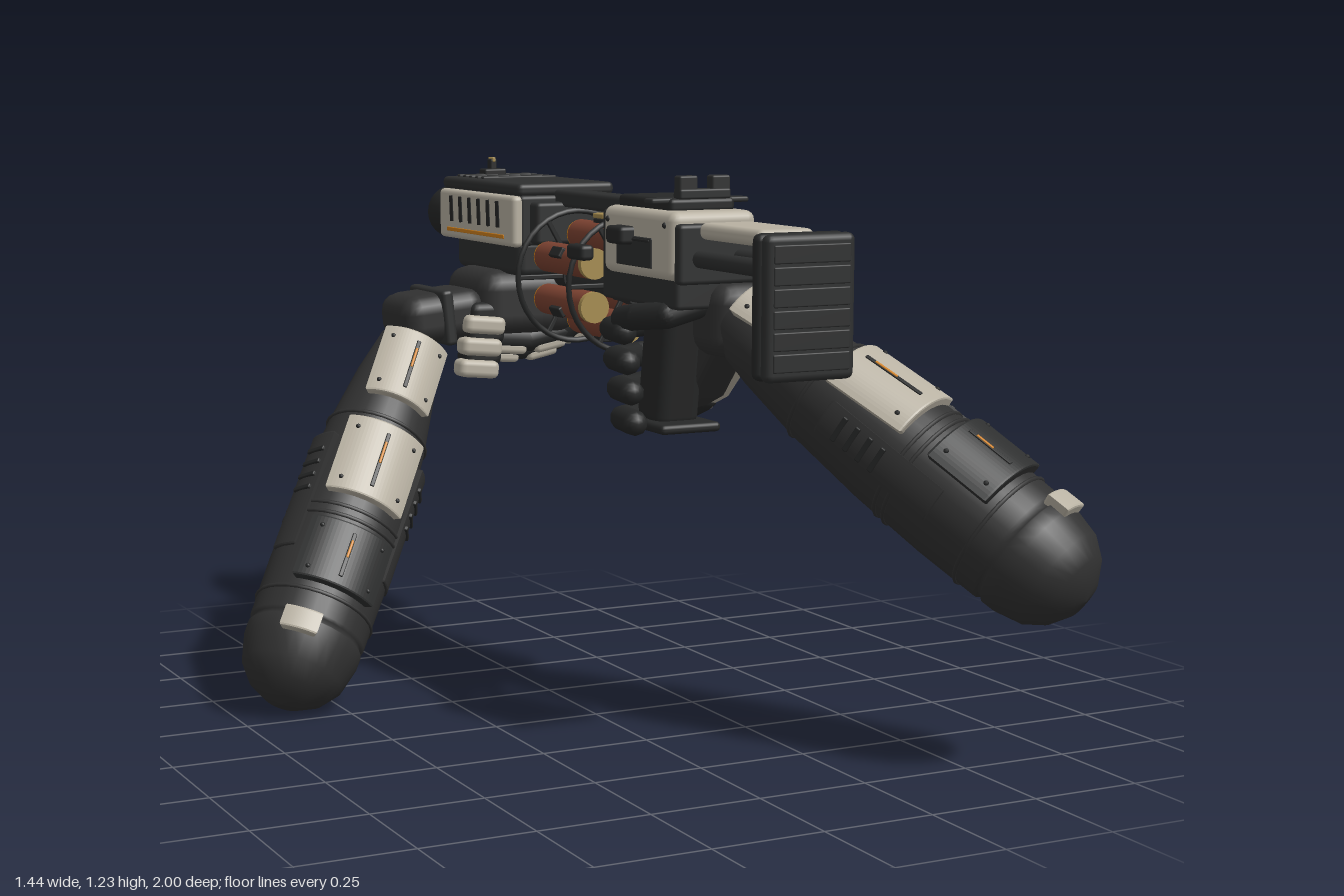
import * as THREE from 'three';
import { RoundedBoxGeometry } from 'three/addons/geometries/RoundedBoxGeometry.js';

const V = (x, y, z) => new THREE.Vector3(x, y, z);
const paint = (name, color) => {
  const m = new THREE.MeshStandardMaterial({ color });
  m.name = name;
  return m;
};

export function createModel() {
  const cream = paint('cream plate', 0xb8b1a2);
  const dark = paint('dark metal', 0x2e2f2f);
  const sleeve = paint('sleeve grey', 0x313131);
  const black = paint('black rubber', 0x262727);
  const brown = paint('copper brown', 0x7c4231);
  const orange = paint('orange accent', 0xd0801c);
  const brass = paint('brass', 0xa68c50);
  black.side = THREE.DoubleSide; // the barrels are open shells

  const model = new THREE.Group();
  const CX = 0.145; // gun centre line

  const add = (parent, name, geo, mat, x = 0, y = 0, z = 0) => {
    const m = new THREE.Mesh(geo, mat);
    m.name = name;
    m.position.set(x, y, z);
    parent.add(m);
    return m;
  };
  const group = (name, parent = model) => {
    const g = new THREE.Group();
    g.name = name;
    parent.add(g);
    return g;
  };
  const box = (w, h, d, r = 0.01) =>
    new RoundedBoxGeometry(w, h, d, 2, Math.min(r, w * 0.45, h * 0.45, d * 0.45));
  const barZ = (r, len, r2 = r) => new THREE.CylinderGeometry(r, r2, len, 20).rotateX(Math.PI / 2);
  // Aim an object: local y along dir, local z towards out
  const aim = (obj, pos, dir, out) => {
    const y = dir.clone().normalize();
    const z = out.clone().addScaledVector(y, -out.dot(y)).normalize();
    obj.quaternion.setFromRotationMatrix(new THREE.Matrix4().makeBasis(y.clone().cross(z), y, z));
    obj.position.copy(pos);
  };

  // ---- Stock ----
  const gun = group('gun');
  add(gun, 'buttPad', box(0.21, 0.3, 0.035, 0.02), black, CX, 0.987, 0.635);
  add(gun, 'buttPadBack', box(0.21, 0.3, 0.035, 0.02), dark, CX, 0.987, 0.672);
  for (let i = 0; i < 6; i++) add(gun, 'buttRidge', box(0.18, 0.038, 0.008, 0.003), dark, CX, 0.877 + i * 0.044, 0.688);
  for (const s of [-1, 1]) add(gun, 'stockRod', barZ(0.019, 0.36), dark, CX + s * 0.05, 1.06, 0.46);
  add(gun, 'cheekRest', box(0.135, 0.036, 0.26, 0.015), cream, CX, 1.122, 0.46);

  // ---- Receiver ----
  add(gun, 'receiver', box(0.21, 0.15, 0.335, 0.022), cream, CX, 1.085, 0.117);
  add(gun, 'receiverBackPlate', box(0.2, 0.13, 0.03), dark, CX, 1.07, 0.295);
  add(gun, 'receiverFrontPlate', box(0.19, 0.14, 0.03), dark, CX, 1.08, -0.055);
  add(gun, 'receiverBelly', box(0.15, 0.08, 0.36), dark, CX, 0.985, 0.07);
  for (const s of [-1, 1]) {
    add(gun, 'sidePort', box(0.008, 0.066, 0.165, 0.003), dark, CX + s * 0.105, 1.066, 0.11);
    add(gun, 'sidePortLip', box(0.008, 0.006, 0.15, 0.002), black, CX + s * 0.107, 1.092, 0.11);
    for (const z of [-0.02, 0.25]) add(gun, 'receiverBolt', new THREE.SphereGeometry(0.007, 8, 6), black, CX + s * 0.104, 1.13, z);
  }
  add(gun, 'topPlate', box(0.16, 0.03, 0.25), black, CX, 1.17, 0.105);
  add(gun, 'sightRail', box(0.24, 0.012, 0.04, 0.005), dark, CX, 1.18, 0.2);
  add(gun, 'rearSightBase', box(0.125, 0.022, 0.035, 0.005), dark, CX, 1.195, 0.225);
  for (const s of [-1, 1]) add(gun, 'rearSightPost', box(0.045, 0.045, 0.03, 0.005), dark, CX + s * 0.04, 1.212, 0.225);
  add(gun, 'sideHandle', box(0.05, 0.04, 0.075), black, 0.03, 1.1, 0.07);
  add(gun, 'sideKnob', box(0.035, 0.035, 0.08), black, -0.015, 1.055, -0.05);

  // ---- Pistol grip ----
  const grip = add(gun, 'pistolGrip', box(0.11, 0.32, 0.12, 0.03), black, CX, 0.83, 0.09);
  grip.rotation.x = 0.15;
  add(gun, 'gripFoot', box(0.15, 0.022, 0.2), black, CX, 0.675, 0.085);

  // ---- Revolving drum ----
  const drum = group('drum', gun);
  drum.position.set(CX, 0.97, -0.255);
  add(drum, 'shaft', barZ(0.035, 0.4), dark);
  add(drum, 'frontHub', barZ(0.04, 0.05), black, 0, 0, -0.155);
  add(drum, 'rearHub', barZ(0.045, 0.05), dark, 0, 0, 0.17);
  for (const z of [-0.14, 0.135]) {
    add(drum, 'drumRing', new THREE.TorusGeometry(0.155, 0.007, 6, 36), black, 0, 0, z);
    for (let k = 0; k < 3; k++) add(drum, 'ringSpoke', box(0.31, 0.012, 0.008, 0.003), black, 0, 0, z).rotation.z = (k * Math.PI) / 3;
  }
  for (let k = 0; k < 6; k++) {
    const a = Math.PI / 6 + (k * Math.PI) / 3, c = Math.cos(a), s = Math.sin(a);
    add(drum, 'chamber', barZ(0.036, 0.235), brown, c * 0.1, s * 0.1, 0);
    add(drum, 'chamberTip', barZ(0.036, 0.01, 0.034), orange, c * 0.1, s * 0.1, -0.121);
    add(drum, 'cartridgeRim', barZ(0.036, 0.016), brass, c * 0.1, s * 0.1, 0.124);
    const clip = add(drum, 'chamberClip', box(0.014, 0.026, 0.055, 0.004), black, c * 0.137, s * 0.137, 0);
    clip.rotation.z = a;
  }
  add(drum, 'topTab', box(0.03, 0.012, 0.055, 0.004), brass, 0, 0.15, 0);
  add(gun, 'topBar', box(0.065, 0.04, 0.42), dark, CX, 1.153, -0.25);
  add(gun, 'drumMount', box(0.13, 0.09, 0.06), dark, CX, 0.985, -0.06);

  // ---- Fore shroud and barrels ----
  add(gun, 'shroudCollar', box(0.2, 0.1, 0.07), dark, CX, 1.095, -0.44);
  add(gun, 'shroudCore', box(0.25, 0.12, 0.45), dark, CX, 1.1, -0.67);
  add(gun, 'topCover', box(0.255, 0.03, 0.465, 0.012), dark, CX, 1.173, -0.682);
  for (let i = 0; i < 5; i++) add(gun, 'coverRib', box(0.2, 0.008, 0.018, 0.003), dark, CX, 1.189, -0.875 + i * 0.037);
  for (const s of [-1, 1]) {
    add(gun, 'shroudSide', box(0.03, 0.122, 0.45, 0.012), cream, CX + s * 0.13, 1.098, -0.67);
    for (let i = 0; i < 6; i++) {
      const slot = add(gun, 'ventSlot', box(0.006, 0.064, 0.02, 0.002), black, CX + s * 0.144, 1.112, -0.535 - i * 0.056);
      slot.rotation.x = -0.08;
    }
    add(gun, 'accentStripe', box(0.006, 0.01, 0.345, 0.002), orange, CX + s * 0.144, 1.06, -0.67);
    const tube = [[0.038, 0], [0.038, 0.13], [0.054, 0.14], [0.066, 0.135], [0.066, 0.07], [0.058, 0.065], [0.058, 0.05], [0.066, 0.045], [0.066, 0]];
    const barrel = new THREE.LatheGeometry(tube.map(([x, y]) => new THREE.Vector2(x, -y)), 24).rotateX(Math.PI / 2);
    add(gun, 'barrel', barrel, black, CX + s * 0.068, 1.093, -0.86);
    add(gun, 'barrelPlug', barZ(0.05, 0.02), dark, CX + s * 0.068, 1.093, -0.89);
  }
  add(gun, 'frontSightBase', box(0.06, 0.02, 0.04, 0.005), black, CX, 1.195, -0.885);
  add(gun, 'frontSight', box(0.018, 0.045, 0.025, 0.004), black, CX, 1.207, -0.89);
  add(gun, 'sightBead', box(0.009, 0.012, 0.03, 0.003), brass, CX, 1.228, -0.89);
  add(gun, 'foreGrip', box(0.2, 0.09, 0.38, 0.02), dark, CX, 1.005, -0.7);

  // ---- Forearms ----
  // Curved armour plate hugging the sleeve, centred on local +z
  const arcPlate = (r, thick, half, len) => {
    const s = new THREE.Shape();
    s.absarc(0, 0, r + thick, -Math.PI / 2 - half, -Math.PI / 2 + half, false);
    s.absarc(0, 0, r - 0.02, -Math.PI / 2 + half, -Math.PI / 2 - half, true);
    return new THREE.ExtrudeGeometry(s, { depth: len, curveSegments: 12, bevelThickness: 0.005, bevelSize: 0.005, bevelSegments: 2 })
      .translate(0, 0, -len / 2).rotateX(-Math.PI / 2);
  };
  const profile = [[0, -0.135], [0.045, -0.128], [0.09, -0.1], [0.12, -0.06], [0.135, 0], [0.136, 0.03], [0.129, 0.035], [0.129, 0.045],
    [0.137, 0.05], [0.14, 0.2], [0.136, 0.38], [0.122, 0.58], [0.1, 0.74], [0.075, 0.86], [0, 0.87]].map(([x, y]) => new THREE.Vector2(x, y));
  const forearm = (name, elbow, dir, side) => {
    const g = group(name);
    aim(g, elbow, dir, V(0, -dir.z, dir.y));
    add(g, 'sleeve', new THREE.LatheGeometry(profile, 32), sleeve);
    for (const [y, r] of [[0.1, 0.138], [0.3, 0.138], [0.325, 0.137], [0.585, 0.122]])
      add(g, 'sleeveBand', new THREE.TorusGeometry(r, 0.005, 6, 32).rotateX(Math.PI / 2), sleeve, 0, y, 0);
    const plates = [[0.73, 0.099, 0.19, 0.72, cream], [0.45, 0.127, 0.2, 0.68, cream], [0.2, 0.138, 0.15, 0.66, dark], [0.02, 0.132, 0.045, 0.26, cream]];
    plates.forEach(([y, r, len, half, mat], i) => {
      const p = group('armPlate', g);
      p.position.y = y;
      p.rotation.x = [-0.13, -0.08, 0, 0][i];
      if (i === 3) p.rotation.y = side * 0.33;
      add(p, 'plateShell', arcPlate(r, 0.016, half, len), mat);
      if (i === 3) return;
      add(p, 'plateSlot', box(0.01, len * 0.75, 0.008, 0.002), black, 0, 0, r + 0.02);
      add(p, 'plateGlow', box(0.006, len * 0.3, 0.008, 0.002), orange, 0, len * 0.1, r + 0.022);
      for (const s of [-1, 1]) for (const t of [-1, 1])
        add(p, 'plateBolt', new THREE.SphereGeometry(0.006, 8, 6), black, s * (r + 0.02) * Math.sin(half * 0.75), t * len * 0.36, (r + 0.02) * Math.cos(half * 0.75));
    });
    // Side panels with small fins
    for (const s of [-1, 1]) {
      const flank = group('sidePanel', g);
      flank.rotation.y = s * 1.2;
      add(flank, 'panel', arcPlate(0.13, 0.01, 0.25, 0.3), sleeve, 0, 0.36, 0);
      for (let i = 0; i < 4; i++) add(flank, 'panelFin', box(0.06, 0.012, 0.012, 0.003), black, 0, 0.36 + i * 0.035, 0.143);
    }
  };
  forearm('frontForearm', V(-0.59, 0.135, -0.34), V(0.45, 0.69, -0.38), -1);
  forearm('rearForearm', V(0.585, 0.46, 0.862), V(-0.325, 0.42, -0.565), 1);

  // ---- Hands ----
  // Finger: dark capsules along a path; the first few segments carry a cream plate on the outer face
  const finger = (parent, pts, centre, r, plated) => {
    const f = group('finger', parent);
    for (let i = 0; i + 1 < pts.length; i++) {
      const mid = pts[i].clone().lerp(pts[i + 1], 0.5), dir = pts[i + 1].clone().sub(pts[i]), len = dir.length();
      const s = group('fingerSegment', f);
      aim(s, mid, dir, mid.clone().sub(centre(mid)));
      add(s, 'joint', new THREE.CapsuleGeometry(r, len, 4, 10), black);
      if (i < plated) add(s, 'fingerPlate', box(r * 1.7, len * 0.85, r, 0.012), cream, 0, 0, r * 0.72);
    }
  };

  // Supporting hand under the fore grip, fingers fanning up the +x side
  const handA = group('frontHand');
  const cuff = add(handA, 'wristCuff', box(0.22, 0.12, 0.2, 0.045), sleeve, -0.1, 0.86, -0.7);
  cuff.rotation.z = 0.1;
  add(handA, 'cuffBand', box(0.03, 0.135, 0.215, 0.01), dark, -0.1, 0.86, -0.7).rotation.z = 0.1;
  add(handA, 'palm', box(0.27, 0.16, 0.26, 0.05), sleeve, 0.12, 0.89, -0.71);
  for (let i = 0; i < 4; i++) {
    const k = i - 1.5, z = (s) => -0.715 + k * s;
    const low = Math.abs(k) * 0.025;
    finger(handA, [V(0.01, 0.765 + low, z(0.046)), V(0.13, 0.755 + low, z(0.048)), V(0.225, 0.775 + low, z(0.055)), V(0.278, 0.85, z(0.074)), V(0.28, 0.93, z(0.094)), V(0.245, 0.995, z(0.1))],
      (m) => V(0.12, 0.92, m.z), 0.03, 5);
  }
  // Knuckle guards on the rear face of the supporting hand
  for (let i = 0; i < 3; i++) {
    add(handA, 'knuckleGuard', box(0.105, 0.044, 0.06, 0.015), cream, -0.012, 0.728 + i * 0.056, -0.64 + i * 0.02).rotation.z = -0.1;
    add(handA, 'knuckleJoint', box(0.1, 0.05, 0.07, 0.02), black, 0.005, 0.757 + i * 0.056, -0.66 + i * 0.02);
  }

  // Trigger hand: palm on the +x side, fingers wrapping round the grip
  const handB = group('rearHand');
  add(handB, 'wristCuff', box(0.15, 0.17, 0.16, 0.05), sleeve, 0.225, 0.92, 0.22);
  const slab = (outline, d) => new THREE.ExtrudeGeometry(new THREE.Shape(outline.map(([z, y]) => new THREE.Vector2(-z, y))),
    { depth: d, bevelThickness: 0.012, bevelSize: 0.012, bevelSegments: 2 }).rotateY(Math.PI / 2);
  add(handB, 'palm', slab([[0.23, 0.98], [0.02, 0.985], [-0.05, 0.93], [-0.04, 0.8], [0.0, 0.7], [0.1, 0.74], [0.22, 0.87]], 0.07), sleeve, 0.19, 0, 0);
  add(handB, 'backPlate', slab([[0.18, 0.98], [0.02, 0.975], [-0.04, 0.94], [-0.03, 0.82], [0.015, 0.71], [0.08, 0.735], [0.23, 0.87]], 0.012), cream, 0.272, 0, 0);
  for (let i = 0; i < 3; i++) {
    const line = add(handB, 'backGroove', box(0.006, 0.005, 0.11, 0.002), black, 0.294, 0.905 - i * 0.05, 0.025 + i * 0.012);
    line.rotation.x = -0.4;
  }
  for (let i = 0; i < 4; i++) {
    const y = 0.9 - i * 0.066, z = i * 0.018;
    finger(handB, [V(0.268, y + 0.015, z - 0.035), V(0.25, y - 0.012, z - 0.088), V(0.14, y - 0.02, z - 0.09), V(0.065, y - 0.02, z - 0.05), V(0.05, y - 0.02, z + 0.04)],
      (m) => V(0.13, m.y, 0.05), 0.029, 2);
  }
  finger(handB, [V(0.17, 0.96, 0.22), V(0.08, 0.93, 0.19), V(0.055, 0.92, 0.1), V(0.055, 0.91, 0.03)], (m) => V(0.14, m.y, 0.1), 0.03, 0);

  return model;
}
